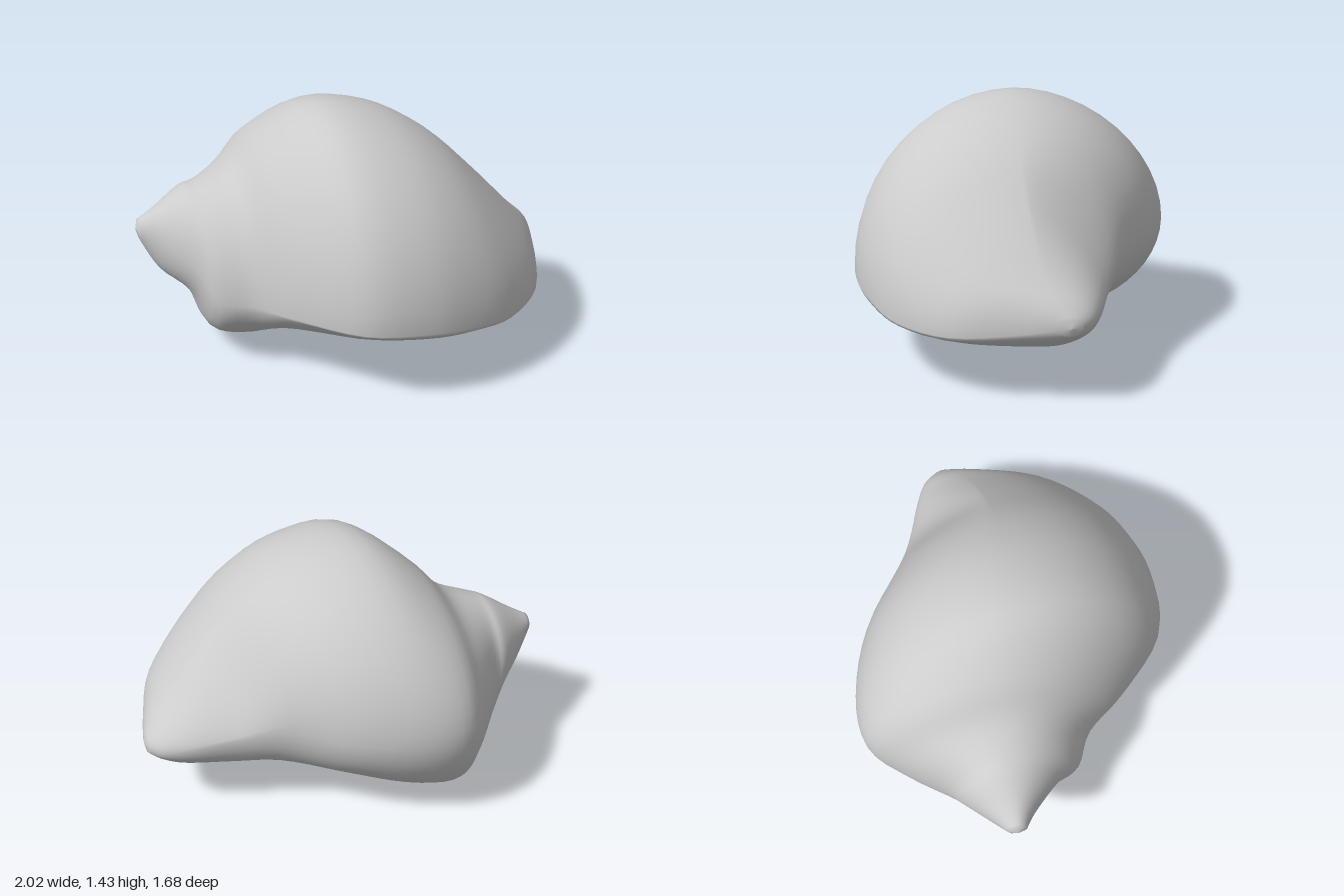
import * as THREE from 'three';

// Cross-sections along the shell axis, spire tip to siphon tip. Each row:
// axis position, back (across, y), crest (across, y), lip (across, y), underside (across, y),
// power of the underside curve towards the lip and of the upper back curve (1 round, 2 straight)
const sections = [
  [-1.22, -0.21, 0.74, -0.16, 0.79, -0.11, 0.73, -0.16, 0.68, 1, 1],
  [-1.12, -0.29, 0.69, -0.15, 0.85, -0.03, 0.67, -0.15, 0.49, 1, 1],
  [-0.97, -0.42, 0.63, -0.15, 0.95, 0.14, 0.60, -0.15, 0.35, 1, 1],
  [-0.88, -0.48, 0.54, -0.14, 0.98, 0.28, 0.45, -0.20, 0.13, 1, 1],
  [-0.70, -0.70, 0.55, -0.12, 1.06, 0.39, 0.44, -0.28, 0.01, 1.25, 1],
  [-0.53, -0.86, 0.60, -0.08, 1.24, 0.63, 0.46, -0.28, 0.00, 1.65, 1.08],
  [-0.25, -0.86, 0.62, 0.03, 1.42, 0.91, 0.47, -0.20, 0.07, 1.6, 1.1],
  [0.08, -0.73, 0.64, 0.06, 1.38, 0.96, 0.45, -0.12, 0.19, 1.2, 1.05],
  [0.37, -0.51, 0.65, 0.09, 1.22, 0.90, 0.41, -0.05, 0.24, 0.95, 1.1],
  [0.62, -0.37, 0.57, 0.09, 0.98, 0.78, 0.37, 0.00, 0.25, 0.95, 1.5],
  [0.87, -0.27, 0.50, 0.06, 0.71, 0.54, 0.37, 0.02, 0.29, 1.1, 1.2],
  [1.00, -0.20, 0.47, -0.01, 0.58, 0.20, 0.41, -0.02, 0.36, 1.1, 1],
  [1.06, -0.12, 0.46, -0.07, 0.50, -0.01, 0.45, -0.07, 0.41, 1, 1],
];

// Smooth blend of the section rows at position t (in rows)
function sectionAt(t) {
  const last = sections.length - 1;
  const i = Math.min(Math.floor(t), last - 1);
  const f = t - i;
  const row = (k) => sections[THREE.MathUtils.clamp(k, 0, last)];
  return sections[0].map((_, c) => {
    const p0 = row(i - 1)[c], p1 = row(i)[c], p2 = row(i + 1)[c], p3 = row(i + 2)[c];
    return p1 + 0.5 * f * (p2 - p0 + f * (2 * p0 - 5 * p1 + 4 * p2 - p3 + f * (3 * (p1 - p2) + p3 - p0)));
  });
}

// Point on a section: four curved quarters joining crest, lip, underside and back
function sectionPoint(s, angle) {
  const [u, backB, backY, topB, topY, lipB, lipY, lowB, lowY, lowPower, backPower] = s;
  const sin = Math.sin(angle), cos = Math.cos(angle);
  const upper = cos >= 0, front = sin >= 0;
  const [endB, endY] = upper ? [topB, topY] : [lowB, lowY];
  const [sideB, sideY] = front ? [lipB, lipY] : [backB, backY];
  let n = 1, hollow = 0;
  if (front && !upper) {
    n = lowPower;
    // Shallow mouth between the lip and the inner column
    hollow = 0.16 * Math.exp(-(((u - 0.48) / 0.25) ** 2)) * sin * cos * cos;
  }
  if (!front && upper) n = backPower;
  return [
    endB + (sideB - endB) * Math.abs(sin) ** n,
    sideY + (endY - sideY) * Math.abs(cos) ** n + hollow,
  ];
}

function shellGeometry(around, perSection) {
  const along = (sections.length - 1) * perSection;
  const positions = [], index = [];
  const h = Math.SQRT1_2; // the axis runs diagonally across the ground

  // Rings, with a collapsed ring closing each tip
  for (let i = -1; i <= along + 1; i++) {
    const s = sectionAt(THREE.MathUtils.clamp(i, 0, along) / perSection);
    const closed = i < 0 || i > along;
    for (let j = 0; j < around; j++) {
      let [b, y] = sectionPoint(s, (j / around) * Math.PI * 2);
      if (closed) {
        b = (s[1] + s[5]) / 2;
        y = (s[4] + s[8]) / 2;
      }
      const u = s[0] + (i < 0 ? -0.015 : i > along ? 0.01 : 0);
      positions.push((u + b) * h, Math.max(y, 0), (b - u) * h);
    }
  }

  for (let i = 0; i < along + 2; i++) {
    for (let j = 0; j < around; j++) {
      const k = (j + 1) % around;
      const a = i * around + j, b = i * around + k;
      index.push(a, b, a + around, b, b + around, a + around);
    }
  }

  const geometry = new THREE.BufferGeometry();
  geometry.setAttribute('position', new THREE.Float32BufferAttribute(positions, 3));
  geometry.setIndex(index);
  geometry.computeVertexNormals();
  return geometry;
}

export function createModel() {
  const group = new THREE.Group();
  group.name = 'seashell';
  const material = new THREE.MeshStandardMaterial({ color: 0xcccccc });
  const shell = new THREE.Mesh(shellGeometry(48, 4), material);
  shell.name = 'shellBody';
  group.add(shell);
  return group;
}
